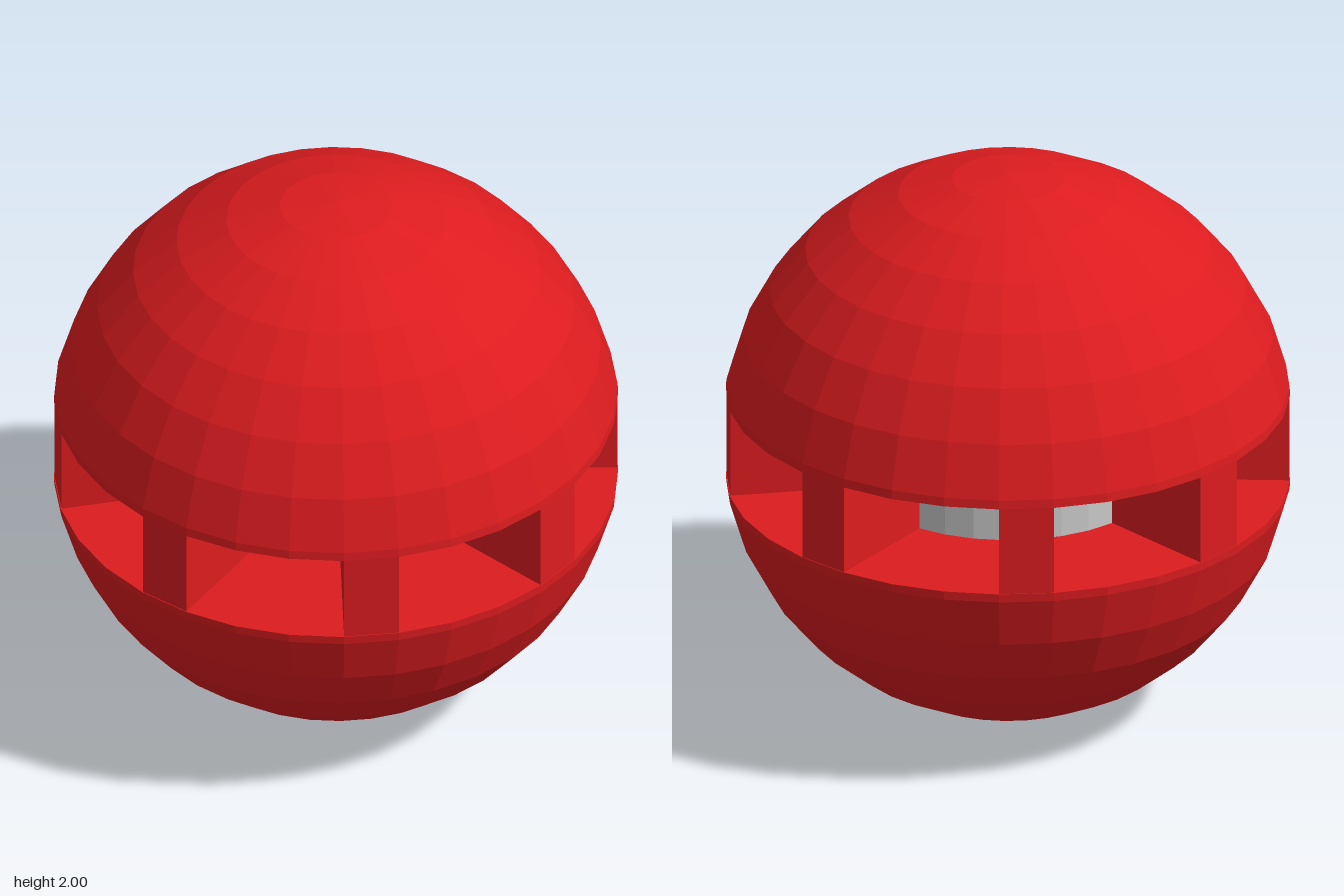
import * as THREE from 'three';

const STEP = Math.PI / 16;   // one facet of the 32-sided ball
const GAP = 0.163;           // half height of the equator slot
const RIM = 0.983;           // ball radius at the slot
const CORE = 0.53;           // radius of the inner core

const red = new THREE.MeshStandardMaterial({ color: 0xdd1c1f, flatShading: true });
const grey = new THREE.MeshStandardMaterial({ color: 0xcccccc, flatShading: true });

// Lower cap of the ball, closed by a flat disc at the slot
function capGeometry() {
  const points = [];
  for (let i = 0; i <= 7; i++) {
    points.push(new THREE.Vector2(Math.sin(i * STEP), 1 - Math.cos(i * STEP)));
  }
  points.push(new THREE.Vector2(RIM, 1 - GAP), new THREE.Vector2(0, 1 - GAP));
  return new THREE.LatheGeometry(points, 32);
}

// Wedge with radial side walls, one facet wide, spanning the slot
function pillarGeometry() {
  const at = (r, a) => new THREE.Vector2(r * Math.sin(a), -r * Math.cos(a));
  const outer = 0.98, inner = CORE - 0.03;
  const shape = new THREE.Shape([
    at(inner, STEP), at(outer, STEP), at(outer, 2 * STEP), at(inner, 2 * STEP),
  ]);
  const geometry = new THREE.ExtrudeGeometry(shape, { depth: 2 * GAP, bevelEnabled: false });
  geometry.rotateX(-Math.PI / 2);
  geometry.translate(0, 1 - GAP, 0);
  return geometry;
}

export function createModel() {
  const model = new THREE.Group();
  model.name = 'slottedBall';

  const add = (name, geometry, material) => {
    const mesh = new THREE.Mesh(geometry, material);
    mesh.name = name;
    model.add(mesh);
    return mesh;
  };

  // Two matching halves
  const cap = capGeometry();
  add('lowerHalf', cap, red);
  const upper = add('upperHalf', cap, red);
  upper.rotation.z = Math.PI;
  upper.position.y = 2;

  // Eight pillars between the windows
  const pillar = pillarGeometry();
  for (let i = 0; i < 8; i++) {
    add('pillar' + (i + 1), pillar, red).rotation.y = i * Math.PI / 4;
  }

  // Core seen through the windows
  const core = add('core', new THREE.CylinderGeometry(CORE, CORE, 2 * GAP, 32, 1, true), grey);
  core.position.y = 1;

  return model;
}
